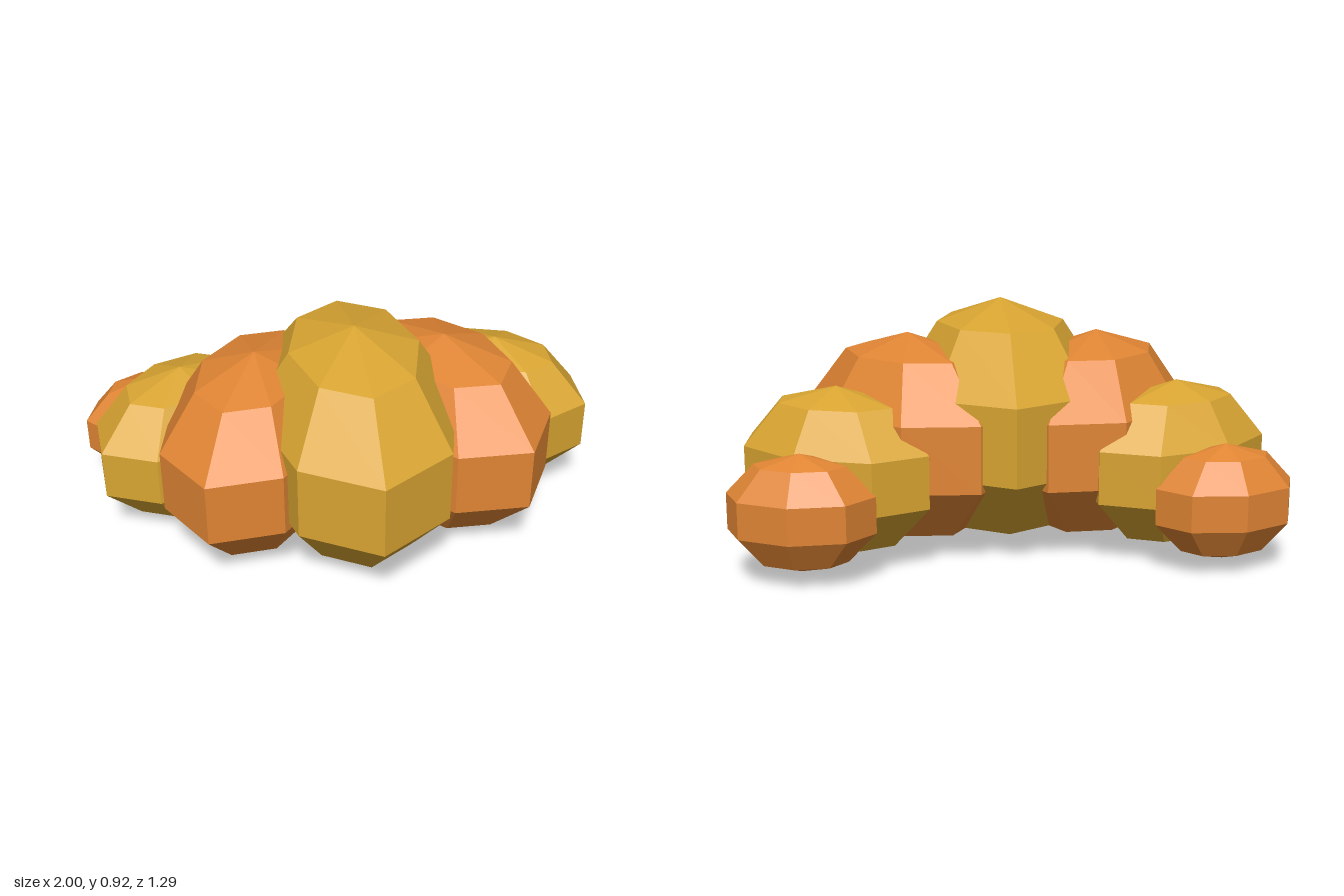
import * as THREE from 'three';

export function createModel() {
  const group = new THREE.Group();
  const gold = new THREE.MeshStandardMaterial({ color: 0xd9a532, flatShading: true });
  const brown = new THREE.MeshStandardMaterial({ color: 0xe08534, flatShading: true });
  const lobe = new THREE.SphereGeometry(1, 8, 5);

  // One faceted dough lobe, stretched along its own z and turned about y
  function addLobe(name, material, r, x, y, z, turn) {
    const mesh = new THREE.Mesh(lobe, material);
    mesh.name = name;
    mesh.scale.set(r * 0.895, r, r * 1.32);
    mesh.position.set(x, y, z);
    mesh.rotation.y = turn;
    group.add(mesh);
  }

  // Middle of the crescent
  addLobe('middleLobe', gold, 0.458, 0, 0.462, 0.07, 0);

  // Lobes shrink and turn toward both tips: radius, x, y, z, turn
  const arm = [
    ['innerLobe', brown, 0.394, 0.355, 0.41, -0.01, 0.5],
    ['outerLobe', gold, 0.31, 0.62, 0.335, -0.22, 0.97],
    ['tipLobe', brown, 0.21, 0.743, 0.25, -0.473, 1.36],
  ];
  for (const [name, material, r, x, y, z, turn] of arm) {
    addLobe(name + 'Left', material, r, x, y, z, turn);
    addLobe(name + 'Right', material, r, -x, y, z, -turn);
  }
  return group;
}
